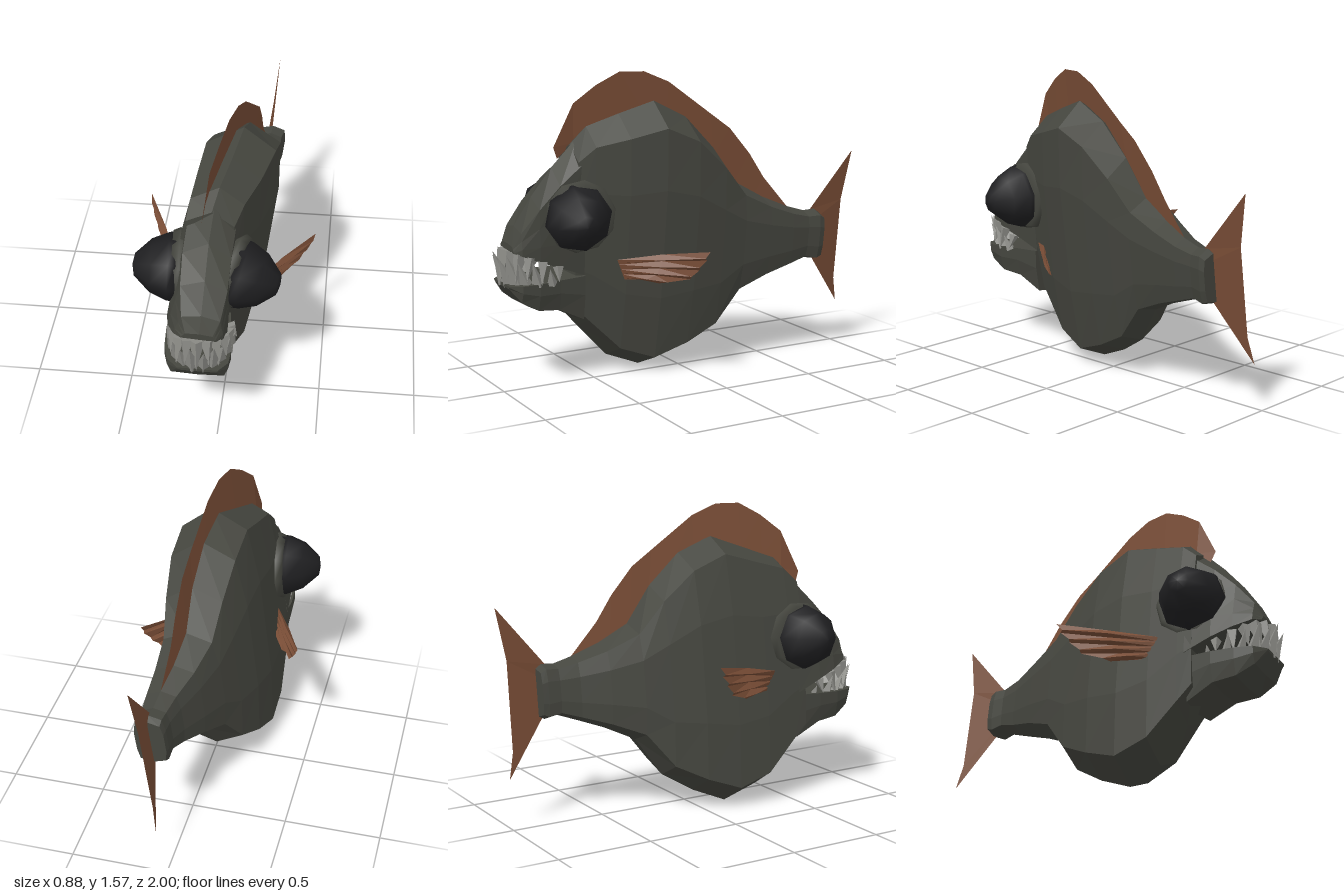
import * as THREE from 'three';

const mat = (name, color, side = THREE.FrontSide) => {
  const m = new THREE.MeshStandardMaterial({ color, side });
  m.name = name;
  return m;
};

// Sideways position of the spine along z: the fish is curved and leans over
const SPINE = [[1, -0.075], [0.9, -0.085], [0.6, -0.115], [0.36, -0.06], [0.18, -0.027], [0, -0.002],
  [-0.3, 0.042], [-0.46, 0.076], [-0.6, 0.112], [-0.78, 0.137], [-1, 0.112]];
function spine(z) {
  for (let i = 0; i < SPINE.length - 1; i++) {
    const [z0, x0] = SPINE[i], [z1, x1] = SPINE[i + 1];
    if (z >= z1) return x0 + (x1 - x0) * (z0 - z) / (z0 - z1);
  }
  return SPINE[SPINE.length - 1][1];
}
const place = (dx, y, z, lean = 0.13) => [spine(z) + lean * (y - 0.7) + dx, y - 0.6 * lean * dx, z];

// Faceted geometry from points and triangle indices
function faceted(points, index) {
  const g = new THREE.BufferGeometry();
  g.setAttribute('position', new THREE.Float32BufferAttribute(points.flat(), 3));
  g.setIndex(index);
  const f = g.toNonIndexed();
  f.computeVertexNormals();
  return f;
}

// Loft of sections [z, bottom, top, halfWidth], front to back, over a mirrored half profile
function loft(sections, half, lean) {
  const ring = [...half, ...half.slice(1, -1).reverse().map(([x, y]) => [-x, y])];
  const n = ring.length, pts = [], idx = [];
  for (const [z, bot, top, w] of sections)
    for (const [u, v] of ring) pts.push(place(u * w, bot + v * (top - bot), z, lean));
  const last = (sections.length - 1) * n;
  for (let i = 0; i < last; i += n)
    for (let j = 0; j < n; j++) {
      const k = (j + 1) % n;
      idx.push(i + j, i + n + j, i + n + k, i + j, i + n + k, i + k);
    }
  for (let j = 1; j < n - 1; j++) {
    idx.push(0, j, j + 1);
    idx.push(last, last + j + 1, last + j);
  }
  return faceted(pts, idx);
}

// Open sheet between two rows of points of equal length
function sheet(rowA, rowB) {
  const n = rowA.length, idx = [];
  for (let i = 0; i < n - 1; i++) idx.push(i, i + 1, n + i + 1, i, n + i + 1, n + i);
  return faceted([...rowA, ...rowB], idx);
}

export function createModel() {
  const group = new THREE.Group();
  const skin = mat('dark skin', 0x45463f);
  const finMat = mat('brown fin', 0x794d36, THREE.DoubleSide);
  const eyeMat = mat('black eye', 0x1f1f21);
  const toothMat = mat('grey tooth', 0x8f8f8a);
  const add = (name, geo, material) => {
    const m = new THREE.Mesh(geo, material);
    m.name = name;
    group.add(m);
    return m;
  };

  // Body
  add('body', loft([
    [0.6, 0.34, 1.22, 0.14], [0.52, 0.25, 1.31, 0.155], [0.36, 0.075, 1.37, 0.185],
    [0.18, 0.005, 1.43, 0.205], [0, 0.08, 1.34, 0.2], [-0.165, 0.18, 1.17, 0.175],
    [-0.3, 0.38, 0.98, 0.15], [-0.46, 0.455, 0.89, 0.12], [-0.6, 0.505, 0.83, 0.09],
    [-0.7, 0.54, 0.8, 0.075], [-0.765, 0.525, 0.805, 0.08], [-0.795, 0.54, 0.785, 0.075],
  ], [[0, 0], [0.87, 0.065], [1, 0.3], [1, 0.7], [0.84, 0.92], [0, 1]]), skin);

  // Upper head and lower jaw, leaving an open mouth between them
  add('upperHead', loft([
    [0.935, 0.71, 0.745, 0.085], [0.9, 0.7, 0.83, 0.12], [0.81, 0.665, 0.97, 0.145],
    [0.7, 0.625, 1.11, 0.15], [0.56, 0.57, 1.26, 0.15],
  ], [[0, 0], [1, 0], [0.97, 0.25], [0.87, 0.55], [0.78, 0.85], [0, 1]]), skin);
  add('lowerJaw', loft([
    [0.965, 0.53, 0.545, 0.1], [0.91, 0.455, 0.548, 0.15], [0.82, 0.4, 0.55, 0.165],
    [0.7, 0.385, 0.555, 0.16], [0.56, 0.31, 0.56, 0.15],
  ], [[0, 0], [0.88, 0.07], [1, 0.6], [1, 1], [0, 1]], 0.03), skin);

  // Teeth in two horseshoe rows
  const teeth = new THREE.Group();
  teeth.name = 'teeth';
  group.add(teeth);
  const up = new THREE.Vector3(0, 1, 0);
  const tooth = (name, base, tip) => {
    const dir = tip.clone().sub(base), len = dir.length();
    const g = new THREE.ConeGeometry(0.016 + 0.14 * len, len, 4).toNonIndexed();
    g.computeVertexNormals();
    const m = new THREE.Mesh(g, toothMat);
    m.name = name;
    m.position.copy(base).add(tip).multiplyScalar(0.5);
    m.quaternion.setFromUnitVectors(up, dir.normalize());
    teeth.add(m);
  };
  const N = 11;
  for (let i = 0; i < N; i++) {
    for (const upper of [true, false]) {
      const a = ((i + (upper ? 0.5 : 0.1)) / N - 0.5) * 3.14;
      const s = Math.sign(a) * Math.abs(Math.sin(a)) ** 0.85, c = Math.cos(a) ** 0.8;
      const x = -0.087 + 0.145 * s, z = 0.66 + 0.275 * c;
      const lip = 0.588 + (z - 0.62) * 0.38, gap = lip - 0.55;
      const len = gap * (i % 2 ? 0.95 : 0.78) + 0.015;
      const y0 = upper ? lip : 0.54;
      tooth(upper ? 'upperTooth' : 'lowerTooth', new THREE.Vector3(x, y0, z),
        new THREE.Vector3(x + 0.03 * s, y0 + (upper ? -len : len), z + (upper ? 0.04 : 0.065) * c));
    }
  }

  // Bulging eyes in rounded sockets
  const lathe = (profile, sides) =>
    new THREE.LatheGeometry(profile.map(([r, h]) => new THREE.Vector2(r, h)), sides);
  const eyeGeo = lathe([[0.1, -0.08], [0.172, -0.01], [0.168, 0.025], [0.132, 0.11], [0.055, 0.19], [0, 0.2]], 8);
  const socketGeo = lathe([[0.12, -0.12], [0.175, -0.07], [0.188, -0.025], [0.172, 0.01], [0.1, 0.005]], 10);
  for (const [side, pos, axis] of [
    ['left', [0.095, 0.868, 0.62], [0.95, -0.08, 0.2]],
    ['right', [-0.24, 0.872, 0.6], [-0.98, 0.06, 0.08]],
  ]) {
    const q = new THREE.Quaternion().setFromUnitVectors(up, new THREE.Vector3(...axis).normalize());
    for (const [part, geo, m] of [['Eye', eyeGeo, eyeMat], ['EyeSocket', socketGeo, skin]]) {
      const mesh = add(side + part, geo, m);
      mesh.position.set(...pos);
      mesh.quaternion.copy(q);
      if (part === 'EyeSocket') mesh.position.z -= 0.015;
    }
  }

  // Dorsal fin: outer edge and a base sunk into the back, bending to the right at the front
  const outer = [[0.67, 1.2], [0.57, 1.42], [0.46, 1.51], [0.345, 1.575], [0.22, 1.575], [0.09, 1.52],
    [-0.14, 1.35], [-0.25, 1.27], [-0.37, 1.13], [-0.46, 0.995], [-0.6, 0.83]];
  const base = [[0.645, 1.14], [0.56, 1.22], [0.46, 1.3], [0.345, 1.34], [0.22, 1.38], [0.09, 1.35],
    [-0.06, 1.22], [-0.17, 1.12], [-0.29, 0.96], [-0.4, 0.88], [-0.6, 0.8]];
  const bend = (z) => -0.045 * Math.min(1, Math.max(0, (z + 0.2) / 0.5));
  const row = (list) => list.map(([z, y]) => place(bend(z), y, z));
  add('dorsalFin', sheet(row(outer), row(base)), finMat);

  // Tail fin
  add('tailFin', sheet(
    row([[-0.74, 0.8], [-0.77, 0.74], [-0.77, 0.6], [-0.77, 0.54]]),
    row([[-1, 1.11], [-0.955, 0.84], [-0.96, 0.385], [-0.99, 0.25]])), finMat);

  // Pleated pectoral fins: broad fingers with a narrow fold under each
  const pectoral = (name, rootTop, rootLow, tips) => {
    const roots = [], mids = [], ends = [], a = new THREE.Vector3(...rootTop), b = new THREE.Vector3(...rootLow);
    const steps = (tips.length - 1) * 2;
    for (let i = 0; i <= steps; i++) {
      const fold = i % 2;
      const r = a.clone().lerp(b, (i + 0.4 * fold) / steps), t = new THREE.Vector3(...tips[i >> 1]);
      const out = Math.sign(t.x - r.x);
      if (fold) {
        t.lerp(new THREE.Vector3(...tips[(i >> 1) + 1]), 0.7).lerp(r, 0.04);
        t.x += out * 0.012;
      }
      const m = r.clone().lerp(t, 0.5);
      m.y += 0.006;
      m.x += out * (fold ? 0.012 : -0.012);
      roots.push(r.toArray());
      mids.push(m.toArray());
      ends.push(t.toArray());
    }
    add(name, sheet(roots, mids), finMat);
    add(name + 'Tip', sheet(mids, ends), finMat);
  };
  pectoral('leftPectoralFin', [0.14, 0.645, 0.43], [0.14, 0.54, 0.39],
    [[0.435, 0.7, 0.06], [0.42, 0.655, 0.07], [0.38, 0.6, 0.09], [0.34, 0.55, 0.12], [0.23, 0.52, 0.24]]);
  pectoral('rightPectoralFin', [-0.25, 0.71, 0.41], [-0.24, 0.6, 0.38],
    [[-0.445, 0.81, -0.06], [-0.435, 0.76, -0.04], [-0.415, 0.705, 0], [-0.385, 0.645, 0.05], [-0.32, 0.6, 0.18]]);

  return group;
}
